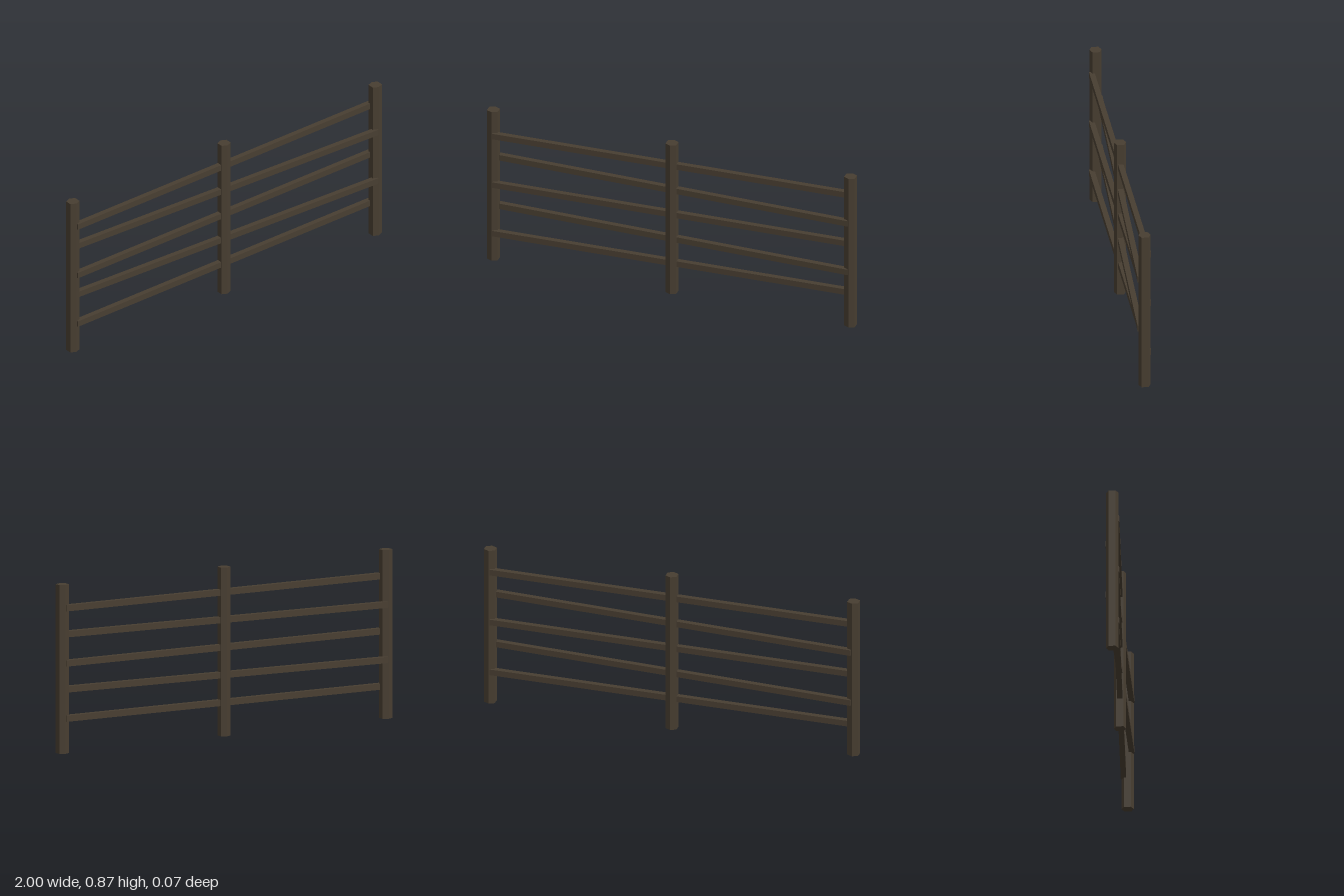
import * as THREE from 'three';

export function createModel() {
  const group = new THREE.Group();
  const wood = new THREE.MeshStandardMaterial({ color: 0x483e31 });
  wood.name = 'dark weathered wood';

  // Six-sided post section, with its ridges facing front and back
  const section = new THREE.Shape([
    [0, 0.031], [-0.029, 0.018], [-0.029, -0.018],
    [0, -0.031], [0.029, -0.018], [0.029, 0.018],
  ].map(([x, z]) => new THREE.Vector2(x, z)));
  const postGeometry = new THREE.ExtrudeGeometry(section, { depth: 0.873, bevelEnabled: false });
  postGeometry.rotateX(-Math.PI / 2);

  // Upright posts
  [['leftPost', 0.971], ['middlePost', 0], ['rightPost', -0.971]].forEach(([name, x]) => {
    const post = new THREE.Mesh(postGeometry, wood);
    post.name = name;
    post.position.x = x;
    group.add(post);
  });

  // Sloping rails, woven alternately to the front and back of the end posts
  const xAxis = new THREE.Vector3(1, 0, 0);
  for (let i = 0; i < 5; i++) {
    const side = i % 2 ? -1 : 1;
    const y = 0.172 + i * 0.1427;
    const start = new THREE.Vector3(-0.965, y - 0.0095, side * 0.021);
    const end = new THREE.Vector3(0.965, y + 0.0095, -side * 0.021);
    const span = end.clone().sub(start);
    const rail = new THREE.Mesh(new THREE.BoxGeometry(span.length(), 0.032, 0.028), wood);
    rail.name = 'rail' + (i + 1);
    rail.position.copy(start).add(end).multiplyScalar(0.5);
    rail.quaternion.setFromUnitVectors(xAxis, span.normalize());
    group.add(rail);
  }
  return group;
}
